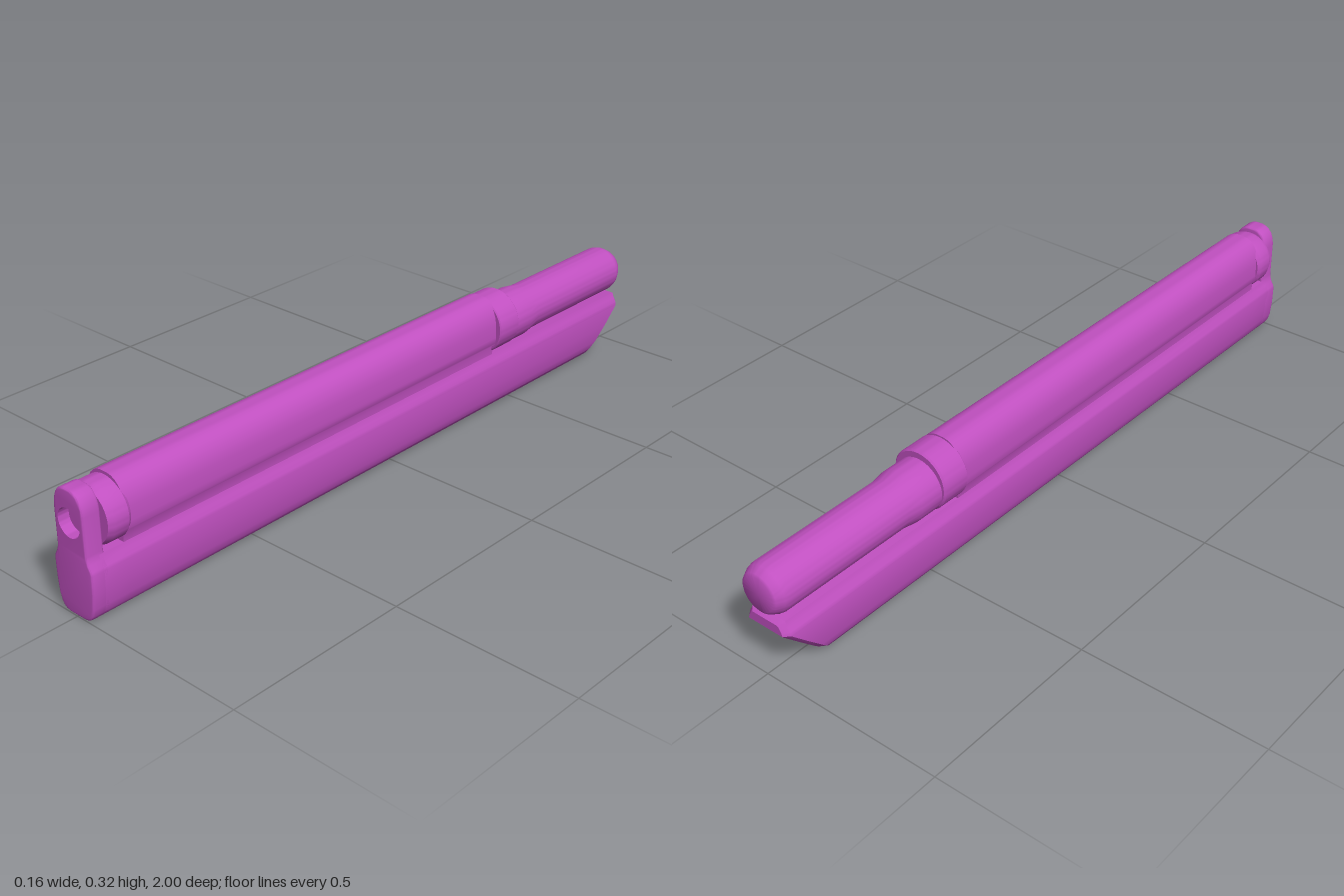
import * as THREE from 'three';
import { toCreasedNormals } from 'three/addons/utils/BufferGeometryUtils.js';

// Lower body cross-section, bottom to top: [y, half width]
const BODY = [
  [0, 0.025], [0.003, 0.038], [0.009, 0.047], [0.02, 0.054], [0.04, 0.06], [0.08, 0.064],
  [0.13, 0.065], [0.138, 0.063], [0.152, 0.055], [0.165, 0.051],
];

// Closed, mirrored shape from one half of its outline
function mirroredShape(half) {
  const right = half.map(([y, x]) => new THREE.Vector2(x, y));
  const left = half.map(([y, x]) => new THREE.Vector2(-x, y)).reverse();
  return new THREE.Shape([...right, ...left]);
}

export function createModel() {
  const group = new THREE.Group();
  const material = new THREE.MeshStandardMaterial({ color: 0xc050c0 });

  const add = (name, geometry, crease = 0.6) => {
    const mesh = new THREE.Mesh(toCreasedNormals(geometry, crease), material);
    mesh.name = name;
    group.add(mesh);
  };

  // Turned part along z; profile is [radius, z] from back to front
  const turned = (name, y, profile) => {
    const points = profile.map(([r, z]) => new THREE.Vector2(r, z));
    const geometry = new THREE.LatheGeometry(points, 64);
    geometry.rotateX(Math.PI / 2);
    geometry.translate(0, y, 0);
    add(name, geometry);
  };

  // Lower body: a box reshaped row by row, with a slanted, softened back end
  const rows = BODY.length - 1;
  const body = new THREE.BoxGeometry(2, 1, 1, 2, rows, 3);
  const pos = body.attributes.position;
  for (let i = 0; i < pos.count; i++) {
    const [y, half] = BODY[Math.round((pos.getY(i) + 0.5) * rows)];
    const level = Math.round((pos.getZ(i) + 0.5) * 3);
    const back = -0.99 + Math.max(0, 0.13 - y);
    const z = [back, back + 0.014, 0.9, 0.965][level];
    const end = level === 0;
    const drop = end && y > 0.16 ? 0.01 : 0;
    pos.setXYZ(i, pos.getX(i) * (half - (end ? 0.012 : 0)), y - drop, z);
  }
  add('lowerBody', body, 0.7);

  // Front plate with a round opening
  const plateShape = mirroredShape([
    ...BODY, [0.172, 0.05], [0.27, 0.05], [0.287, 0.048], [0.303, 0.042],
    [0.315, 0.033], [0.322, 0.022], [0.325, 0.01],
  ]);
  const hole = new THREE.Path();
  hole.absarc(0, 0.24, 0.031, 0, Math.PI * 2, true);
  plateShape.holes.push(hole);
  const bevel = 0.006;
  const plate = new THREE.ExtrudeGeometry(plateShape, {
    depth: 0.05 - 2 * bevel, bevelThickness: bevel, bevelSize: bevel,
    bevelOffset: -bevel, bevelSegments: 3, curveSegments: 24,
  });
  plate.translate(0, 0, 0.95 + bevel);
  // Straighten the wall of the opening
  const pp = plate.attributes.position;
  for (let i = 0; i < pp.count; i++) {
    const x = pp.getX(i), y = pp.getY(i) - 0.24, r = Math.hypot(x, y);
    if (r < 0.04) pp.setXY(i, x * 0.037 / r, 0.24 + y * 0.037 / r);
  }
  add('frontPlate', plate);

  // Long upper cover, narrower below its side ledge
  const cover = new THREE.ExtrudeGeometry(mirroredShape([
    [0.155, 0.05], [0.192, 0.05], [0.196, 0.06], [0.203, 0.064], [0.22, 0.065],
    [0.255, 0.064], [0.275, 0.061], [0.292, 0.055], [0.307, 0.046],
    [0.317, 0.035], [0.323, 0.022], [0.325, 0.01],
  ]), { depth: 1.3, bevelEnabled: false });
  cover.translate(0, 0, -0.405);
  add('upperCover', cover);

  // Collars at both ends of the cover; the front one closes the opening
  turned('frontCollar', 0.24, [
    [0, 0.885], [0.07, 0.885], [0.077, 0.895], [0.077, 0.935], [0.071, 0.95],
    [0.045, 0.95], [0.045, 0.97], [0, 0.97],
  ]);
  turned('rearCollar', 0.24, [
    [0, -0.482], [0.077, -0.482], [0.081, -0.477], [0.081, -0.403], [0.078, -0.4], [0, -0.4],
  ]);

  // Rear tube with a chamfered tip and flared root
  turned('rearTube', 0.23, [
    [0, -1], [0.046, -1], [0.052, -0.996], [0.062, -0.978], [0.065, -0.965],
    [0.065, -0.59], [0.071, -0.55], [0.071, -0.47], [0, -0.47],
  ]);

  return group;
}
